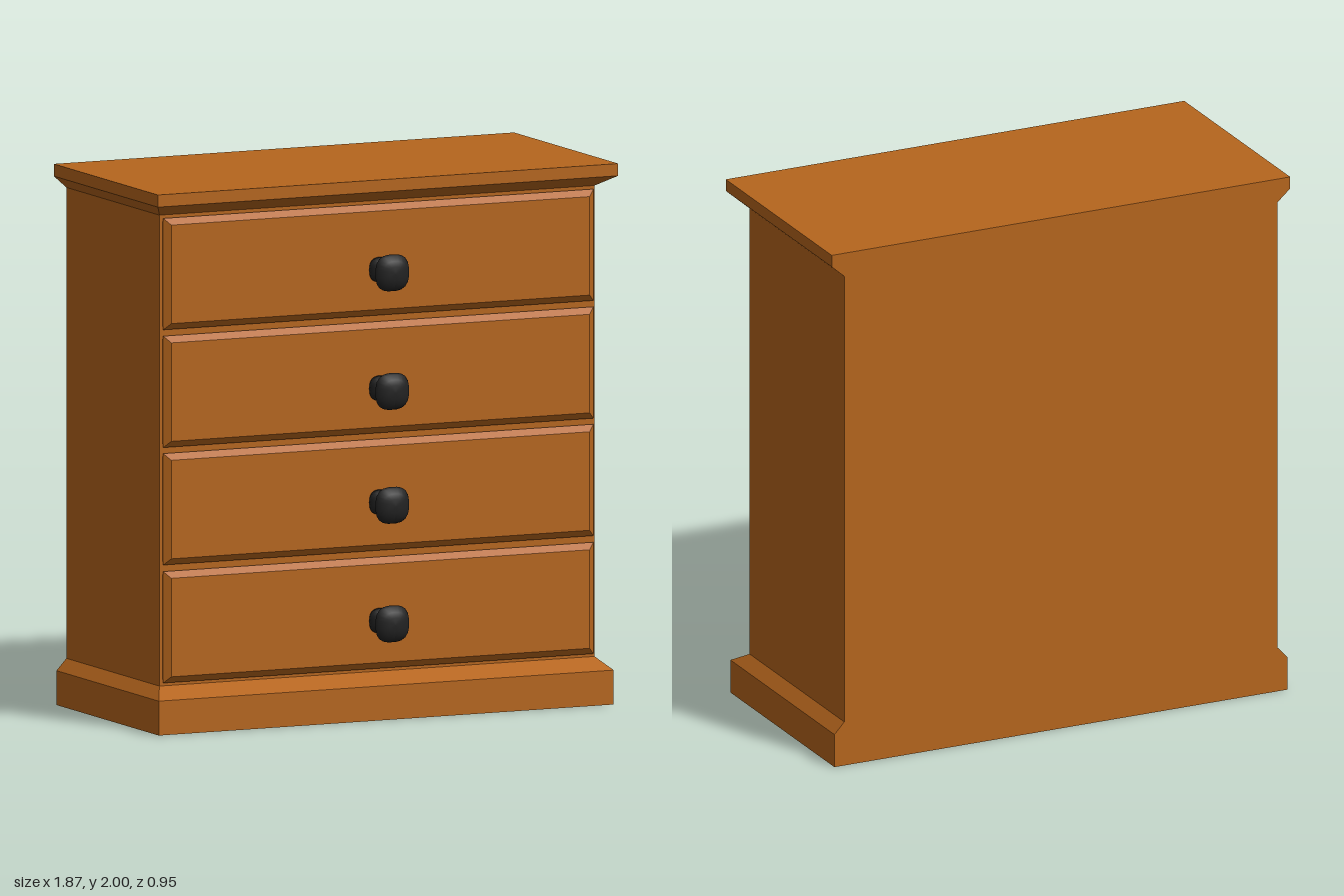
import * as THREE from 'three';

// Solid through a list of four-cornered rings, each counter-clockwise seen from the last ring's side
function loft(rings) {
  const p = [];
  const quad = (a, b, c, d) => p.push(...a, ...b, ...c, ...a, ...c, ...d);
  for (let r = 0; r < rings.length - 1; r++) {
    for (let i = 0; i < 4; i++) {
      const j = (i + 1) % 4;
      quad(rings[r][i], rings[r][j], rings[r + 1][j], rings[r + 1][i]);
    }
  }
  const first = rings[0], last = rings[rings.length - 1];
  quad(first[3], first[2], first[1], first[0]);
  quad(...last);
  const g = new THREE.BufferGeometry();
  g.setAttribute('position', new THREE.Float32BufferAttribute(p, 3));
  g.computeVertexNormals();
  return g;
}

const BACK = -0.475;
// Horizontal ring, flush at the back
const level = (y, hx, front) => [[-hx, y, front], [hx, y, front], [hx, y, BACK], [-hx, y, BACK]];
// Upright ring centred on the origin
const upright = (z, hx, hy) => [[-hx, -hy, z], [hx, -hy, z], [hx, hy, z], [-hx, hy, z]];

// Turned knob along +z, with a rounded-square outline
function knobGeometry() {
  const profile = [
    [0.001, 0], [0.046, 0], [0.046, 0.018], [0.036, 0.034], [0.025, 0.04], [0.025, 0.076],
    [0.045, 0.079], [0.062, 0.088], [0.068, 0.1], [0.062, 0.113], [0.045, 0.125], [0.025, 0.13], [0.0001, 0.131],
  ].map(([r, z]) => new THREE.Vector2(r, z));
  const g = new THREE.LatheGeometry(profile, 24);
  g.rotateX(Math.PI / 2);
  const pos = g.attributes.position;
  for (let i = 0; i < pos.count; i++) {
    const x = pos.getX(i), y = pos.getY(i), r = Math.hypot(x, y);
    const s = r / Math.pow(Math.abs(x) ** 2.8 + Math.abs(y) ** 2.8, 1 / 2.8);
    pos.setXY(i, x * s, y * s);
  }
  g.computeVertexNormals();
  return g;
}

export function createModel() {
  const model = new THREE.Group();
  model.name = 'chestOfDrawers';
  const wood = new THREE.MeshStandardMaterial({ color: 0xb5651d });
  wood.name = 'wood';
  const black = new THREE.MeshStandardMaterial({ color: 0x222222 });
  black.name = 'blackKnob';

  const add = (parent, name, geometry, material) => {
    const mesh = new THREE.Mesh(geometry, material);
    mesh.name = name;
    parent.add(mesh);
    return mesh;
  };

  // Carcass with chamfered plinth and top
  add(model, 'plinth', loft([level(0, 0.922, 0.392), level(0.127, 0.922, 0.392), level(0.17, 0.882, 0.314)]), wood);
  add(model, 'body', loft([level(0.17, 0.882, 0.314), level(1.91, 0.882, 0.314)]), wood);
  add(model, 'top', loft([level(1.91, 0.882, 0.314), level(1.955, 0.933, 0.408), level(2, 0.933, 0.408)]), wood);

  // Bevelled drawer fronts, each with a knob
  const front = loft([
    upright(0.312, 0.82, 0.145), upright(0.32, 0.872, 0.19),
    upright(0.325, 0.872, 0.206), upright(0.344, 0.848, 0.182),
  ]);
  const knob = knobGeometry();
  [[0.388, 0.362], [0.824, 0.8], [1.258, 1.221], [1.693, 1.659]].forEach(([y, knobY], i) => {
    const drawer = new THREE.Group();
    drawer.name = `drawer${i + 1}`;
    add(drawer, 'drawerFront', front, wood).position.y = y;
    add(drawer, 'knob', knob, black).position.set(0, knobY, 0.343);
    model.add(drawer);
  });
  return model;
}
